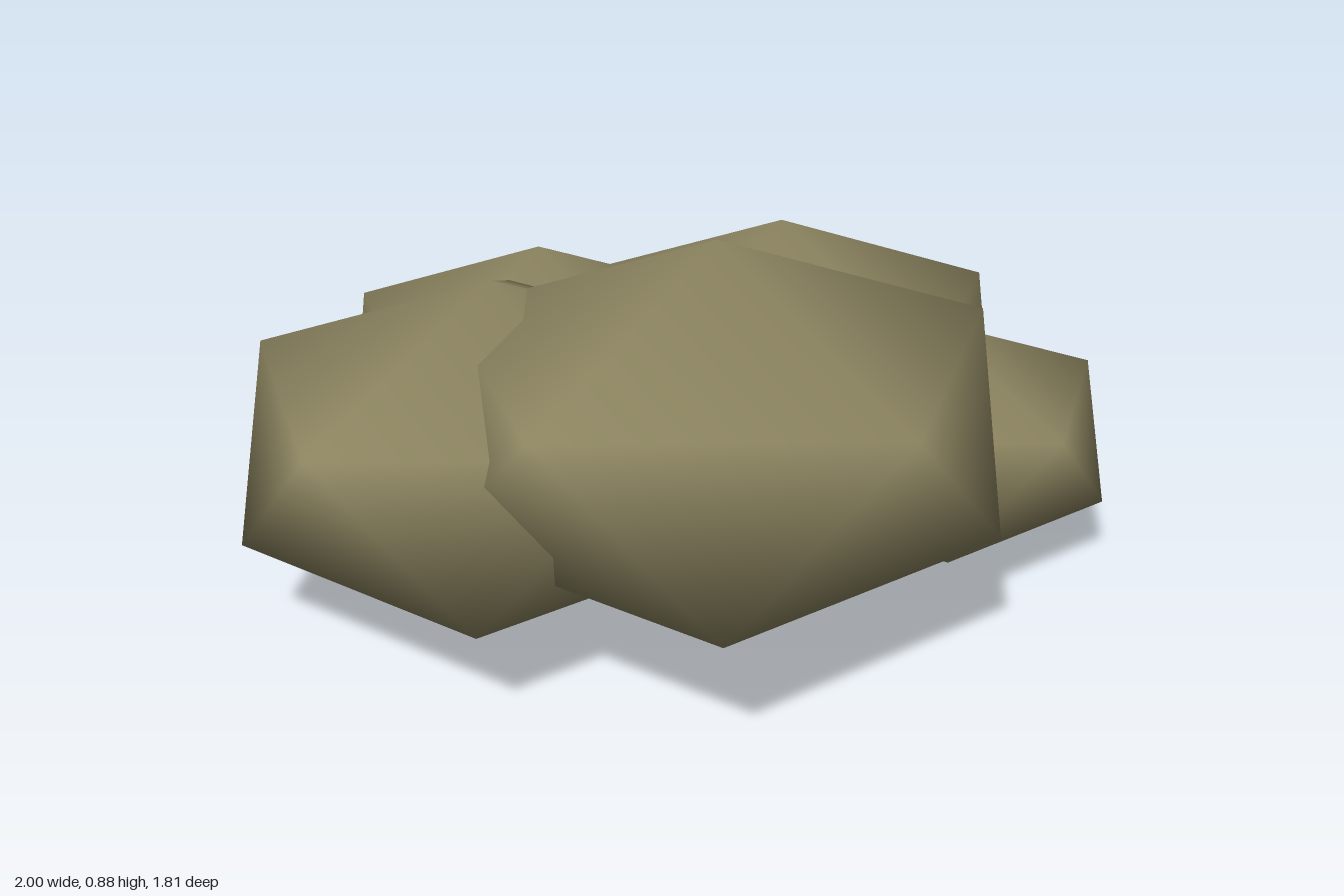
import * as THREE from 'three';

// Unit icosahedron standing on a point, with shared corners for smooth shading
function boulderGeometry() {
  const ringY = 1 / Math.sqrt(5), ringR = 2 / Math.sqrt(5);
  const points = [0, 1, 0, 0, -1, 0];
  const index = [];
  for (let i = 0; i < 5; i++) {
    const a = i * Math.PI * 2 / 5, b = a + Math.PI / 5;
    points.push(Math.cos(a) * ringR, ringY, Math.sin(a) * ringR);
    points.push(Math.cos(b) * ringR, -ringY, Math.sin(b) * ringR);
    const j = (i + 1) % 5;
    const u = 2 + i * 2, un = 2 + j * 2, l = u + 1, ln = un + 1;
    index.push(0, un, u, u, un, l, l, un, ln, 1, l, ln);
  }
  const geometry = new THREE.BufferGeometry();
  geometry.setAttribute('position', new THREE.Float32BufferAttribute(points, 3));
  geometry.setIndex(index);
  geometry.computeVertexNormals();
  return geometry;
}

export function createModel() {
  const group = new THREE.Group();
  group.name = 'boulderCluster';
  const olive = new THREE.MeshStandardMaterial({ color: 0x8c8460 });
  olive.name = 'olive';
  const geometry = boulderGeometry();

  // Flattened lumps: name, centre x, y, z, radius
  const lumps = [
    ['frontLump', -0.02, 0.485, 0.32, 0.688],
    ['rightLump', -0.44, 0.398, 0.08, 0.626],
    ['leftLump', 0.58, 0.285, 0.11, 0.468],
    ['backLeftLump', 0.337, 0.375, -0.22, 0.596],
    ['backLump', -0.2, 0.328, -0.453, 0.532],
    ['backRightLump', -0.56, 0.261, -0.34, 0.436],
  ];
  for (const [name, x, y, z, r] of lumps) {
    const lump = new THREE.Mesh(geometry, olive);
    lump.name = name;
    lump.position.set(x, y, z);
    lump.scale.set(r, r * 0.588, r);
    group.add(lump);
  }
  return group;
}
